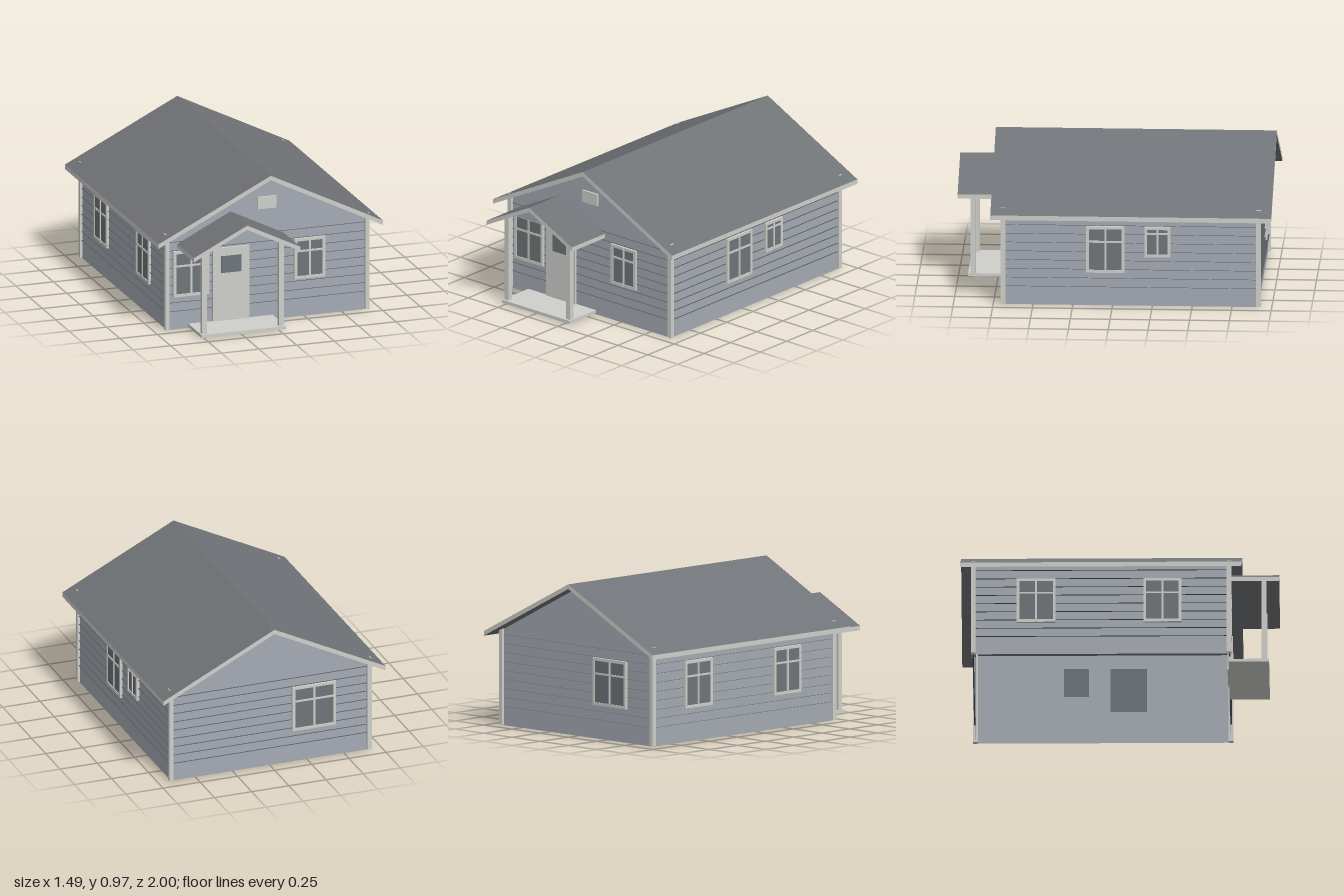
import * as THREE from 'three';

const mat = (name, color, side = THREE.FrontSide) => {
  const m = new THREE.MeshStandardMaterial({ color, side });
  m.name = name;
  return m;
};

export function createModel() {
  const wall = mat('wall grey', 0xa5aab3, THREE.DoubleSide);
  const trim = mat('trim white', 0xcfcfcb);
  const shingle = mat('roof grey', 0x707377);
  const glass = mat('window glass', 0x6f757a);
  const groove = mat('siding shadow line', 0x575a5f, THREE.DoubleSide);

  const house = new THREE.Group();
  house.name = 'house';

  const add = (parent, name, geo, material) => {
    const m = new THREE.Mesh(geo, material);
    m.name = name;
    parent.add(m);
    return m;
  };
  // Box given by its low and high corner
  const box = (parent, name, material, [x0, y0, z0], [x1, y1, z1]) => {
    const m = add(parent, name, new THREE.BoxGeometry(x1 - x0, y1 - y0, z1 - z0), material);
    m.position.set((x0 + x1) / 2, (y0 + y1) / 2, (z0 + z1) / 2);
    return m;
  };
  const polygon = (pts) => new THREE.Shape(pts.map(([x, y]) => new THREE.Vector2(x, y)));

  // Gabled slab: shingle above and below, trim on gable ends and eaves
  function roof(name, cx, half, ridge, eave, thick, z0, z1) {
    const shape = polygon([
      [cx - half, eave - thick], [cx, ridge - thick], [cx + half, eave - thick],
      [cx + half, eave], [cx, ridge], [cx - half, eave],
    ]);
    const geo = new THREE.ExtrudeGeometry(shape, { depth: z1 - z0, bevelEnabled: false });
    geo.translate(0, 0, z0);
    geo.clearGroups();
    const n = geo.attributes.normal;
    for (let i = 0; i < n.count; i += 3) geo.addGroup(i, 3, Math.abs(n.getY(i)) > 0.5 ? 0 : 1);
    add(house, name, geo, [shingle, trim]);
  }
  roof('mainRoof', 0, 0.747, 0.97, 0.597, 0.03, -1, 0.765);
  roof('porchRoof', -0.24, 0.355, 0.737, 0.56, 0.028, 0.68, 1);

  // Four sides, each with its own frame: local z points out of the wall
  const W = 0.664, F = 0.684, B = 0.914, mid = (F - B) / 2;
  const side = (name, x, z, turn) => {
    const g = new THREE.Group();
    g.name = name;
    g.position.set(x, 0, z);
    g.rotation.y = turn;
    house.add(g);
    return g;
  };
  const front = side('frontSide', 0, F, 0);
  const back = side('backSide', 0, -B, Math.PI);
  const left = side('leftSide', W, 0, Math.PI / 2);
  const right = side('rightSide', -W, 0, -Math.PI / 2);

  const gable = polygon([[-W, 0], [W, 0], [W, 0.606], [0, 0.94], [-W, 0.606]]);
  for (const g of [front, back]) add(g, 'gableWall', new THREE.ShapeGeometry(gable), wall);
  for (const [g, s] of [[left, -1], [right, 1]]) {
    const m = add(g, 'sideWall', new THREE.PlaneGeometry(F + B, 0.606), wall);
    m.position.set(s * mid, 0.303, 0);
  }

  // Horizontal siding laps
  for (const [g, len, off] of [[front, 2 * W, 0], [back, 2 * W, 0], [left, F + B, -mid], [right, F + B, mid]]) {
    for (let i = 0; i < 9; i++) {
      const m = add(g, 'sidingLap', new THREE.PlaneGeometry(len, 0.011), groove);
      m.rotation.x = -Math.PI / 2;
      m.position.set(off, 0.12 + i * 0.057, 0.0055);
    }
  }

  // Window with frame, centre bar and crossbar
  function windowAt(g, u0, u1, y0, y1, cross) {
    const w = new THREE.Group();
    w.name = 'window';
    g.add(w);
    const t = 0.018, c = (u0 + u1) / 2, d = 0.019;
    box(w, 'windowGlass', glass, [u0 + 0.005, y0 + 0.005, -0.008], [u1 - 0.005, y1 - 0.005, 0.013]);
    for (const [a, b] of [[u0, u0 + t], [c - 0.006, c + 0.006], [u1 - t, u1]])
      box(w, 'windowUpright', trim, [a, y0, 0.001], [b, y1, d]);
    for (const [a, b] of [[y0, y0 + t], [cross - 0.006, cross + 0.006], [y1 - t, y1]])
      box(w, 'windowRail', trim, [u0 + t, a, 0.001], [u1 - t, b, d - 0.0005]);
  }
  windowAt(front, -0.625, -0.388, 0.215, 0.515, 0.416);
  windowAt(front, 0.18, 0.385, 0.25, 0.515, 0.432);
  windowAt(left, -0.165, 0.075, 0.215, 0.515, 0.416);
  windowAt(left, 0.2, 0.365, 0.32, 0.515, 0.472);
  windowAt(right, -0.645, -0.4, 0.215, 0.515, 0.416);
  windowAt(right, 0.15, 0.39, 0.215, 0.515, 0.416);
  windowAt(back, 0.147, 0.44, 0.215, 0.515, 0.416);

  // Door and gable vent
  box(front, 'door', trim, [-0.362, 0.028, -0.008], [-0.12, 0.507, 0.015]);
  box(front, 'doorGlass', glass, [-0.307, 0.342, 0.013], [-0.172, 0.453, 0.017]);
  box(front, 'gableVent', trim, [-0.062, 0.735, 0.001], [0.062, 0.814, 0.014]);

  // Corner boards, their tips just showing through the roof
  for (const s of [-1, 1])
    for (const z of [0.687, -0.917])
      box(house, 'cornerBoard', trim, [s * 0.666 - 0.014, 0.005, z - 0.015], [s * 0.666 + 0.014, 0.634, z + 0.015]);

  // Porch
  box(house, 'porchDeck', trim, [-0.522, 0.008, 0.685], [0.04, 0.028, 0.938]);
  for (const x of [-0.497, 0.016])
    box(house, 'porchPost', trim, [x - 0.017, 0.028, 0.89], [x + 0.017, 0.585, 0.922]);
  const porchGable = add(house, 'porchGable',
    new THREE.ShapeGeometry(polygon([[-0.445, 0.605], [-0.035, 0.605], [-0.24, 0.708]])), wall);
  porchGable.position.z = 0.906;

  return house;
}
